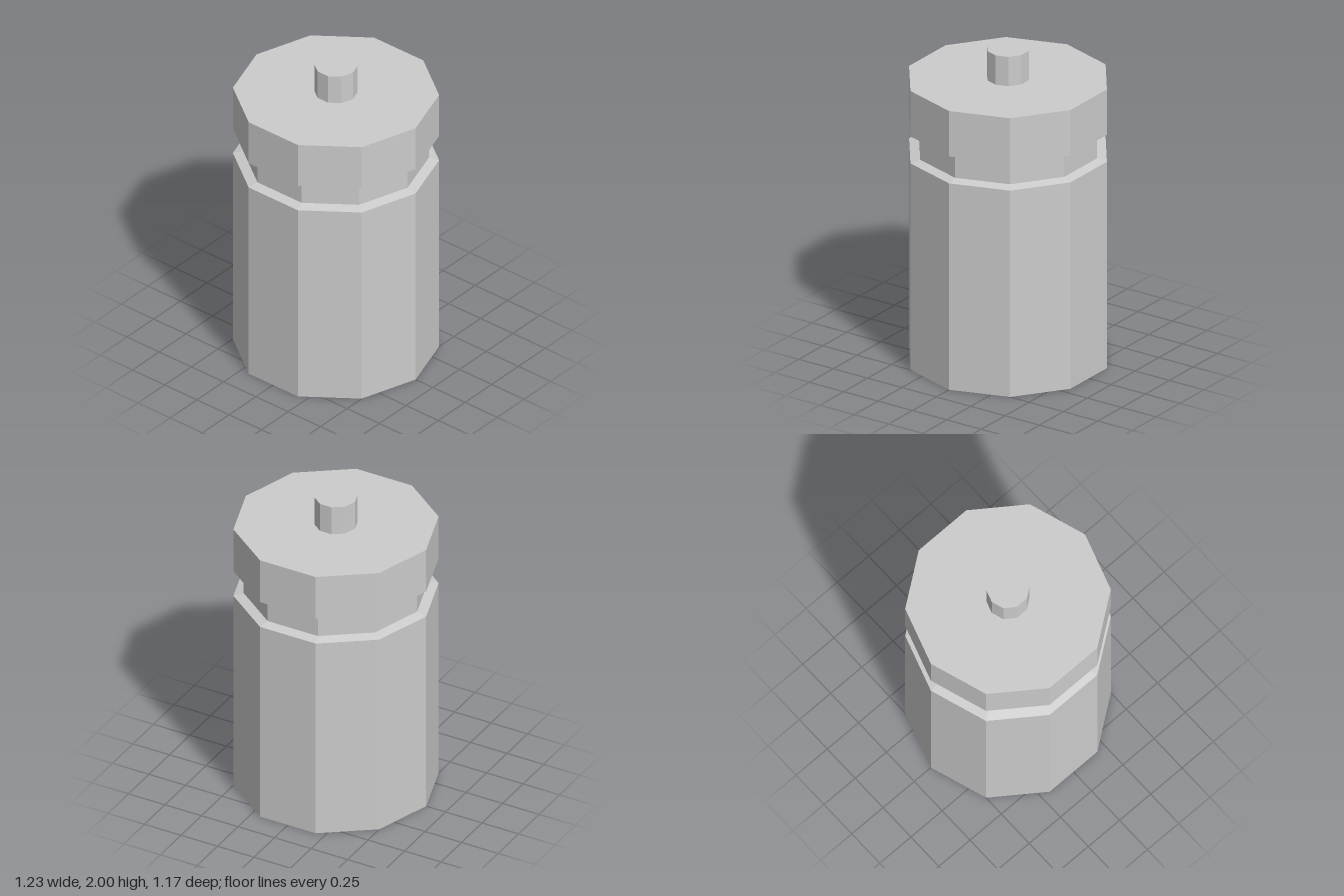
import * as THREE from 'three';

const SIDES = 10;
const R = 0.617;      // body and lid radius
const NECK = 0.555;   // groove radius

// Ten-sided turned part; profile runs from the bottom up as [radius, y]
function turned(name, profile, flatShading = true) {
  const points = profile.map(([r, y]) => new THREE.Vector2(r, y));
  const geometry = new THREE.LatheGeometry(points, SIDES, Math.PI / 2);
  const material = new THREE.MeshStandardMaterial({ color: 0xcccccc, flatShading });
  const mesh = new THREE.Mesh(geometry, material);
  mesh.name = name;
  return mesh;
}

export function createModel() {
  const group = new THREE.Group();
  group.name = 'canister';
  group.add(
    // Hollowed underside, softly shaded
    turned('baseRecess', [[0, 0.105], [0.29, 0.105], [0.48, 0.09], [R, 0]], false),
    // Straight wall with a slightly sloped shoulder
    turned('body', [[R, 0], [R, 1.34], [NECK, 1.355]]),
    turned('neck', [[NECK, 1.355], [NECK, 1.505]]),
    // Cap with a slightly sloped underside
    turned('lid', [[NECK, 1.505], [R, 1.515], [R, 1.81], [0, 1.81]]),
    turned('knob', [[0.13, 1.81], [0.13, 2], [0, 2]]),
  );
  return group;
}
